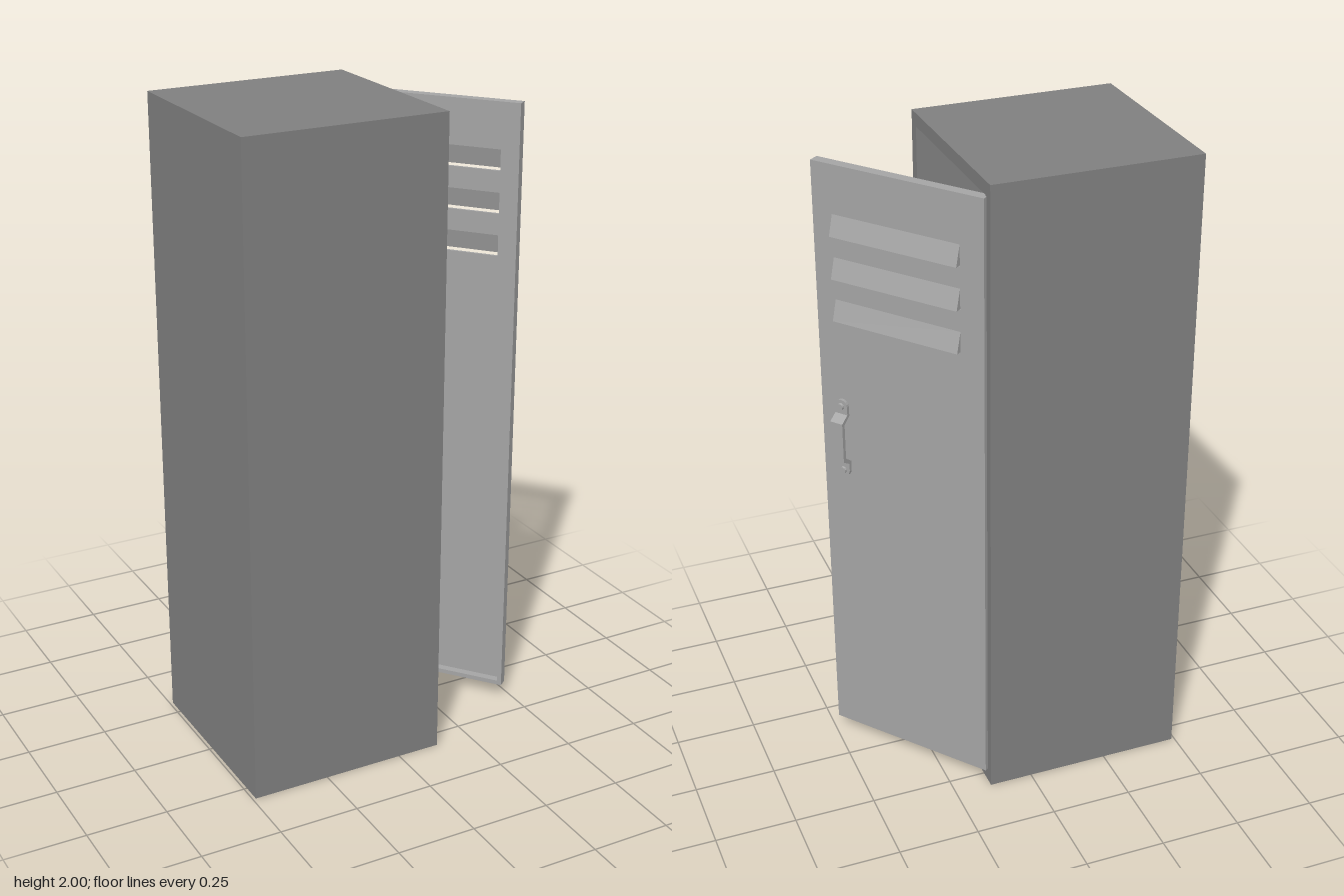
import * as THREE from 'three';

const mat = (color) => new THREE.MeshStandardMaterial({ color, flatShading: true });
const steel = mat(0x7f7f7f), doorGrey = mat(0xa4a4a4);
const hoodGrey = new THREE.MeshStandardMaterial({ color: 0xa4a4a4, flatShading: true, side: THREE.DoubleSide });
const blue = mat(0x5b8eea), white = mat(0xeee2e4), maroon = mat(0xa23468), tan = mat(0xdb966f), brown = mat(0x9c6248);

function add(parent, name, geo, material) {
  const m = new THREE.Mesh(geo, material);
  m.name = name;
  parent.add(m);
  return m;
}

// Box given by its min and max corners
function box(parent, name, [x0, y0, z0], [x1, y1, z1], material) {
  const g = new THREE.BoxGeometry(x1 - x0, y1 - y0, z1 - z0);
  g.translate((x0 + x1) / 2, (y0 + y1) / 2, (z0 + z1) / 2);
  return add(parent, name, g, material);
}

const points = (pts) => pts.map((p) => new THREE.Vector2(...p));
const polygon = (pts) => new THREE.Shape(points(pts));

// Flat-shaded geometry from corners and triangle indices
function faceted(pos, idx) {
  const g = new THREE.BufferGeometry();
  g.setAttribute('position', new THREE.Float32BufferAttribute(pos, 3));
  g.setIndex(idx);
  const flat = g.toNonIndexed();
  flat.computeVertexNormals();
  return flat;
}

// Loft through rings with the same number of points, capped at both ends
function loft(rings) {
  const n = rings[0].length, idx = [], last = (rings.length - 1) * n;
  for (let r = 0; r < rings.length - 1; r++)
    for (let i = 0; i < n; i++) {
      const a = r * n + i, b = r * n + (i + 1) % n;
      idx.push(a, b, a + n, b, b + n, a + n);
    }
  for (let i = 1; i < n - 1; i++) idx.push(0, i + 1, i, last, last + i, last + i + 1);
  return faceted(rings.flat(2), idx);
}

function makeCabinet() {
  const g = new THREE.Group();
  g.name = 'cabinet';
  const X0 = -0.49, X1 = 0.135, Z = 0.312, t = 0.03, side = 0.02, jambX = 0.09;
  box(g, 'backWall', [X0, 0, -Z], [X0 + t, 2, Z], steel);
  box(g, 'roof', [X0 + t, 2 - t, -Z], [X1, 2, Z], steel);
  box(g, 'floor', [X0 + t, 0, -Z], [X1, t, Z], steel);
  for (const s of [-1, 1]) {
    const [a, b] = [s * Z, s * (Z - side)].sort((p, q) => p - q);
    box(g, 'sideWall', [X0 + t, t, a], [X1, 2 - t, b], steel);
    // Jamb beside the opening
    const [c, d] = [s * (Z - side), s * 0.276].sort((p, q) => p - q);
    box(g, 'jamb', [jambX, t, c], [X1, 2 - t, d], steel);
  }
  box(g, 'frameTop', [jambX, 1.96, -0.276], [X1, 2 - t, 0.276], steel);
  box(g, 'frameBottom', [jambX, t, -0.276], [X1, 0.043, 0.276], steel);
  box(g, 'shelf', [X0 + t, 0.676, -Z + side], [jambX, 0.71, Z - side], steel);
  return g;
}

// Door: local x runs from the free edge (-W) to the hinge (0), +z is outside
function makeDoor() {
  const g = new THREE.Group();
  g.name = 'door';
  const W = 0.555, y0 = 0.045, y1 = 1.957, depth = 0.032, rim = 0.014;
  const L0 = -0.49, L1 = -0.076, louverTops = [1.81, 1.68, 1.55], drop = 0.061, out = 0.019;

  // Sheet with slots
  const sheet = polygon([[-W, y0], [0, y0], [0, y1], [-W, y1]]);
  for (const y of louverTops)
    sheet.holes.push(new THREE.Path(points([[L0, y - drop - 0.003], [L0, y], [L1, y], [L1, y - drop - 0.003]])));
  const sg = new THREE.ExtrudeGeometry(sheet, { depth: 0.008, bevelEnabled: false });
  sg.translate(0, 0, -0.008);
  add(g, 'doorSheet', sg, doorGrey);

  // Folded rim on the inside
  box(g, 'rimFree', [-W, y0, -depth], [-W + rim, y1, -0.008], doorGrey);
  box(g, 'rimHinge', [-rim, y0, -depth], [0, y1, -0.008], doorGrey);
  box(g, 'rimTop', [-W + rim, y1 - rim, -depth], [-rim, y1, -0.008], doorGrey);
  box(g, 'rimBottom', [-W + rim, y0, -depth], [-rim, y0 + rim, -0.008], doorGrey);

  // Louvers: slanted hoods, open below
  for (const y of louverTops) {
    const b = y - drop;
    add(g, 'louver', faceted(
      [L0, y, 0, L1, y, 0, L0, b, out, L1, b, out, L0, b, 0, L1, b, 0],
      [0, 2, 1, 1, 2, 3, 0, 4, 2, 1, 3, 5]), hoodGrey);
  }

  // Handle: bent strap with rounded, screwed feet
  const h = new THREE.Group();
  h.name = 'handle';
  const c = 1.105, w = 0.042, n = 0.038;
  const strap = polygon([[0, c - 0.108], [0.01, c - 0.108], [0.01, c - 0.082], [n, c - 0.064], [n, c + 0.064],
    [0.01, c + 0.082], [0.01, c + 0.108], [0, c + 0.108], [0, c + 0.076], [n - 0.012, c + 0.056], [n - 0.012, c - 0.056], [0, c - 0.076]]);
  const hg = new THREE.ExtrudeGeometry(strap, { depth: w, bevelEnabled: false });
  hg.rotateY(-Math.PI / 2);
  hg.translate(w / 2, 0, 0);
  add(h, 'handleStrap', hg, doorGrey);
  for (const s of [-1, 1]) {
    const foot = new THREE.CylinderGeometry(w / 2, w / 2, 0.01, 16).rotateX(Math.PI / 2);
    add(h, 'handleFoot', foot, doorGrey).position.set(0, c + s * 0.107, 0.005);
    const screw = new THREE.CylinderGeometry(0.009, 0.011, 0.006, 10).rotateX(Math.PI / 2);
    add(h, 'handleScrew', screw, doorGrey).position.set(0, c + s * 0.107, 0.013);
  }
  h.position.x = -0.482;
  g.add(h);

  g.position.set(0.145, 0, -0.292);
  g.rotation.y = Math.PI - 0.902;
  return g;
}

// Leaning book: local origin at its lowest front edge, spine faces +x
function makeBook(name, cover, t, height, depth, z) {
  const g = new THREE.Group();
  g.name = name;
  const c = 0.008;
  box(g, 'coverLeft', [-depth, 0, -c], [0, height, 0], cover);
  box(g, 'coverRight', [-depth, 0, -t], [0, height, -t + c], cover);
  box(g, 'spine', [-0.012, 0, -t + c], [-0.003, height, -c], cover);
  box(g, 'pages', [-depth + 0.015, 0.012, -t + c], [-0.012, height - 0.015, -c], white);
  g.position.set(-0.035, 0.71, z);
  g.rotation.x = 0.235;
  return g;
}

function makeBinder() {
  const t = 0.088, g = makeBook('binder', blue, t, 0.525, 0.4, 0.156);
  box(g, 'spineLabel', [-0.003, 0.205, -t + 0.018], [-0.001, 0.315, -0.018], white);
  const ring = add(g, 'fingerHole', new THREE.TorusGeometry(0.009, 0.003, 6, 16).rotateY(Math.PI / 2), blue);
  ring.position.set(-0.002, 0.36, -t / 2);
  return g;
}

// Soft faceted pouch with a zip along the top
function makePouch() {
  const g = new THREE.Group();
  g.name = 'pouch';
  const section = [[0.075, 0], [0.112, 0.09], [0.065, 0.165], [0.02, 0.185], [-0.02, 0.185], [-0.065, 0.165], [-0.112, 0.09], [-0.075, 0]];
  const rings = [[-0.36, 0.65], [-0.31, 0.95], [-0.2, 1], [-0.1, 1], [-0.04, 0.76]]
    .map(([x, s]) => section.map(([z, y]) => [x, y && 0.09 + (y - 0.09) * s, z * s]));
  add(g, 'pouchBody', loft(rings), tan);
  box(g, 'zip', [-0.3, 0.175, -0.006], [-0.1, 0.188, 0.006], brown);
  box(g, 'zipPull', [-0.1, 0.16, -0.005], [-0.08, 0.186, 0.005], brown);
  g.position.set(0, 0.71, -0.16);
  return g;
}

export function createModel() {
  const model = new THREE.Group();
  model.name = 'locker';
  model.add(makeCabinet(), makeDoor(), makeBinder(),
    makeBook('book', maroon, 0.085, 0.5, 0.36, 0.0655), makePouch());
  return model;
}
